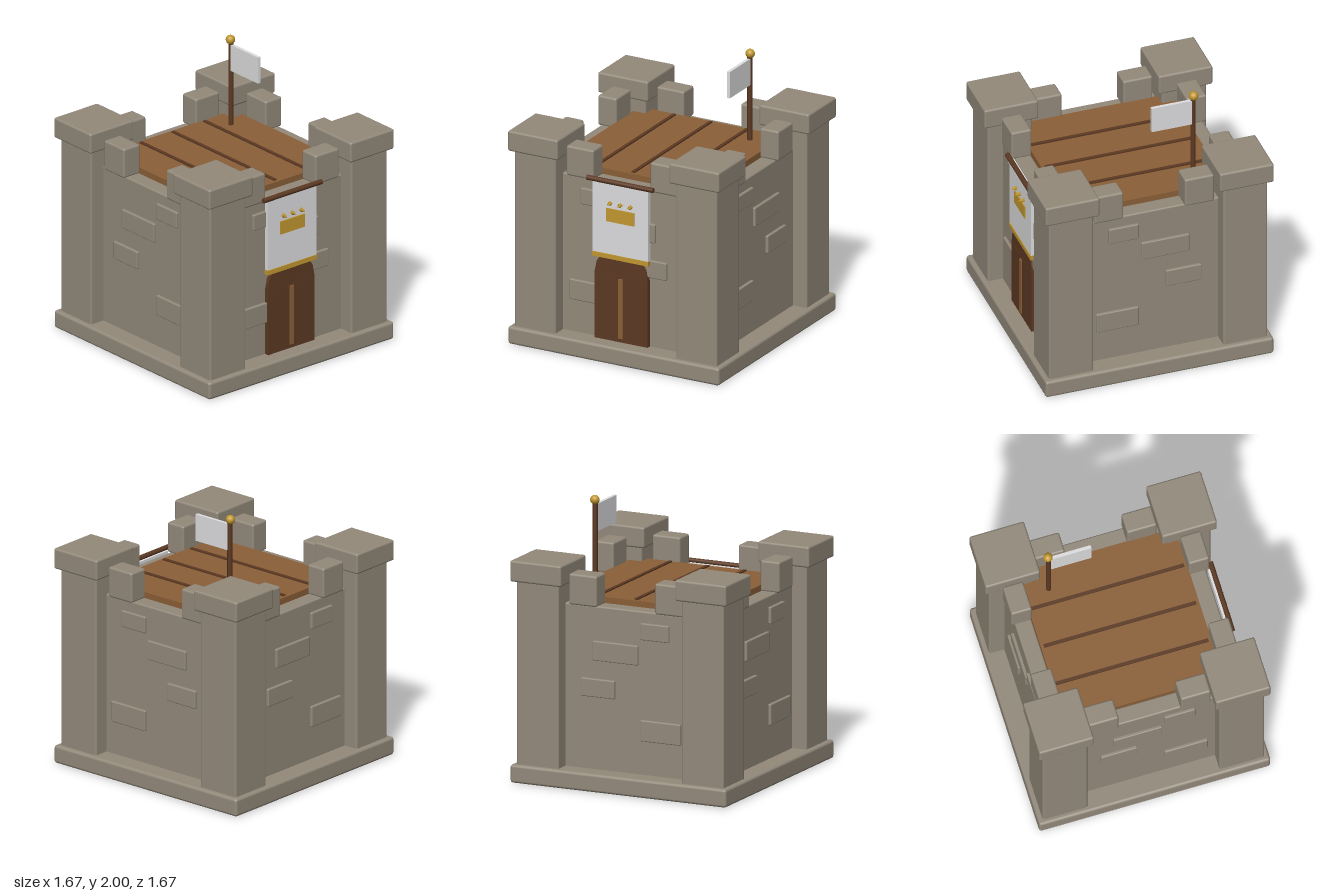
import * as THREE from 'three';
import { RoundedBoxGeometry } from 'three/addons/geometries/RoundedBoxGeometry.js';

const mat = (name, color) => Object.assign(new THREE.MeshStandardMaterial({ color }), { name });

export function createModel() {
  const stone = mat('stone', 0x938a7b);
  const wood = mat('wood', 0x8b5f37);
  const darkWood = mat('dark wood', 0x5c3922);
  const cloth = mat('cloth', 0xdedee0);
  const gold = mat('gold', 0xc2982f);
  const root = new THREE.Group();
  root.name = 'castleKeep';

  const add = (name, geometry, material, x, y, z, parent = root) => {
    const mesh = new THREE.Mesh(geometry, material);
    mesh.name = name;
    mesh.position.set(x, y, z);
    parent.add(mesh);
    return mesh;
  };
  // Boxes given by their minimum and maximum corners
  const span = (name, material, x0, x1, y0, y1, z0, z1, radius = 0, parent = root) => {
    const size = [x1 - x0, y1 - y0, z1 - z0];
    const geometry = radius ? new RoundedBoxGeometry(...size, 2, radius) : new THREE.BoxGeometry(...size);
    return add(name, geometry, material, (x0 + x1) / 2, (y0 + y1) / 2, (z0 + z1) / 2, parent);
  };

  span('base', stone, -0.835, 0.835, 0, 0.13, -0.835, 0.835, 0.02);

  // Corner towers with caps
  for (const sx of [-1, 1]) {
    for (const sz of [-1, 1]) {
      add('tower', new RoundedBoxGeometry(0.325, 1.34, 0.325, 2, 0.015), stone, sx * 0.638, 0.78, sz * 0.638);
      add('towerCap', new RoundedBoxGeometry(0.395, 0.15, 0.395, 2, 0.015), stone, sx * 0.638, 1.505, sz * 0.638);
    }
  }

  // Walls, merlons and raised bricks: [start, end, bottom, top] along the wall
  const bricks = [
    [-0.33, -0.11, 1.09, 1.21],
    [-0.09, 0.26, 0.905, 1.045],
    [0.09, 0.35, 0.645, 0.775],
    [-0.42, -0.11, 0.37, 0.52],
  ];
  for (const alongX of [true, false]) {
    for (const side of [-1, 1]) {
      const part = (name, u0, u1, y0, y1, d0, d1, radius) => {
        const [a, b] = side > 0 ? [d0, d1] : [-d1, -d0];
        if (alongX) span(name, stone, u0, u1, y0, y1, a, b, radius);
        else span(name, stone, a, b, y0, y1, -u1, -u0, radius);
      };
      part('wall', -0.6, 0.6, 0.1, 1.29, 0.57, 0.69, 0.012);
      part('merlon', -0.44, -0.225, 1.285, 1.505, 0.567, 0.715, 0.015);
      part('merlon', 0.225, 0.44, 1.285, 1.505, 0.567, 0.715, 0.015);
      for (const [u0, u1, y0, y1] of bricks) part('brick', u0, u1, y0, y1, 0.67, 0.71, 0.008);
    }
  }

  // Wooden roof deck with dark seams
  span('roofDeck', wood, -0.572, 0.572, 1.24, 1.33, -0.572, 0.572);
  for (const x of [-0.288, 0, 0.288]) {
    span('roofSeam', darkWood, x - 0.012, x + 0.012, 1.32, 1.34, -0.55, 0.55);
  }

  // Arched door
  span('door', darkWood, -0.21, 0.21, 0.13, 0.62, 0.66, 0.722);
  const arch = new THREE.CylinderGeometry(0.21, 0.21, 0.06, 16).rotateX(Math.PI / 2);
  add('doorArch', arch, darkWood, 0, 0.62, 0.69);
  span('doorStrip', wood, -0.017, 0.017, 0.16, 0.6, 0.72, 0.732);

  // Hanging banner with a gold crown
  const banner = new THREE.Group();
  banner.name = 'banner';
  root.add(banner);
  const rod = new THREE.CylinderGeometry(0.018, 0.018, 0.525, 12).rotateZ(Math.PI / 2);
  add('bannerRod', rod, darkWood, 0, 1.31, 0.733, banner);
  span('bannerCloth', cloth, -0.22, 0.22, 0.74, 1.3, 0.7, 0.73, 0, banner);
  span('bannerHem', gold, -0.222, 0.222, 0.738, 0.772, 0.698, 0.735, 0, banner);
  span('crownBand', gold, -0.11, 0.11, 1.015, 1.112, 0.725, 0.738, 0, banner);
  for (const x of [-0.08, 0, 0.08]) {
    const point = new THREE.ConeGeometry(0.02, 0.05, 4).rotateX(Math.PI / 2);
    add('crownPoint', point, gold, x, 1.15, 0.752, banner);
  }

  // Flag on the roof
  const flag = new THREE.Group();
  flag.name = 'flag';
  root.add(flag);
  add('flagPole', new THREE.CylinderGeometry(0.018, 0.018, 0.64, 12), darkWood, 0.395, 1.64, -0.395, flag);
  add('flagFinial', new THREE.SphereGeometry(0.033, 16, 12), gold, 0.395, 1.967, -0.4, flag);
  span('flagCloth', cloth, 0.383, 0.407, 1.74, 1.935, -0.385, -0.09, 0, flag);

  return root;
}
